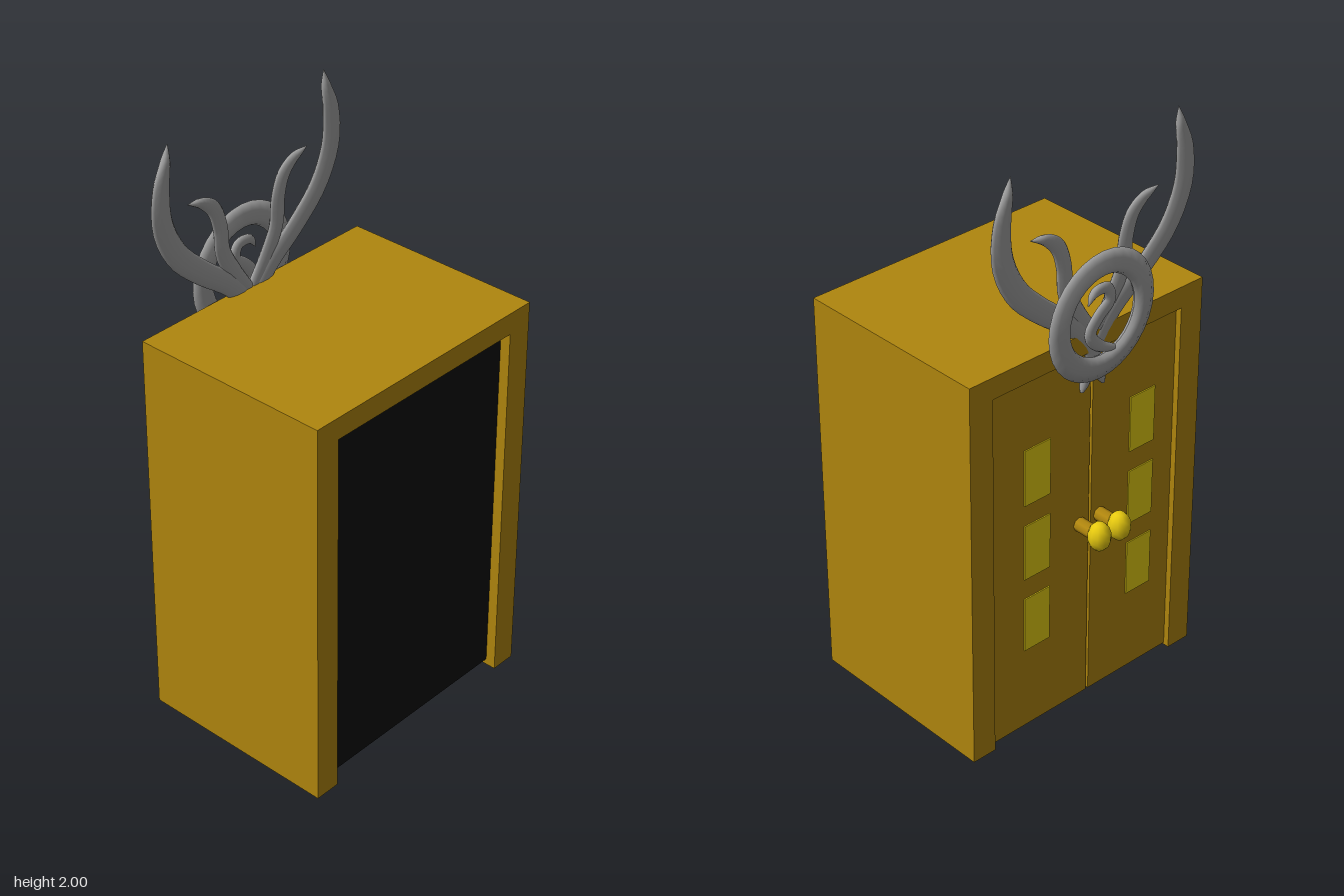
import * as THREE from 'three';

const mat = (name, color, extra = {}) => {
  const m = new THREE.MeshStandardMaterial({ color, ...extra });
  m.name = name;
  return m;
};

// Tapered sweep in the XY plane; rows are [x, y, halfWidth], with an elliptical section
function taperedSweep(rows, depth, steps = 28, sides = 10) {
  const path = new THREE.CatmullRomCurve3(rows.map(([x, y]) => new THREE.Vector3(x, y, 0)));
  const widths = new THREE.CatmullRomCurve3(rows.map(([, , w], i) => new THREE.Vector3(i, w, 0)));
  const pos = [], idx = [];
  for (let i = 0; i <= steps; i++) {
    const t = i / steps;
    const p = path.getPoint(t), d = path.getTangent(t);
    const w = Math.max(widths.getPoint(t).y, 0.0005);
    const h = Math.min(depth, w);
    for (let j = 0; j < sides; j++) {
      const a = (j / sides) * Math.PI * 2;
      const c = Math.cos(a) * w;
      pos.push(p.x - d.y * c, p.y + d.x * c, Math.sin(a) * h);
      if (i < steps) {
        const k = (j + 1) % sides, r = i * sides, n = r + sides;
        idx.push(r + j, r + k, n + j, r + k, n + k, n + j);
      }
    }
  }
  const g = new THREE.BufferGeometry();
  g.setAttribute('position', new THREE.Float32BufferAttribute(pos, 3));
  g.setIndex(idx);
  g.computeVertexNormals();
  return g;
}

export function createModel() {
  const model = new THREE.Group();
  model.name = 'cabinet';
  const wood = mat('golden brown wood', 0xb0860e);
  const black = mat('black interior', 0x0e0e0e);
  const yellow = mat('yellow panes', 0xecd412);
  const knobYellow = mat('yellow knobs', 0xecce10);
  const metal = mat('grey metal', 0xa0a0a0, { side: THREE.DoubleSide });

  const add = (name, geo, material, x = 0, y = 0, z = 0, parent = model) => {
    const m = new THREE.Mesh(geo, material);
    m.name = name;
    m.position.set(x, y, z);
    parent.add(m);
    return m;
  };
  const box = (name, material, x0, x1, y0, y1, z0, z1, parent) =>
    add(name, new THREE.BoxGeometry(x1 - x0, y1 - y0, z1 - z0), material,
      (x0 + x1) / 2, (y0 + y1) / 2, (z0 + z1) / 2, parent);

  // Outer shell: an inverted U running front to back
  const u = new THREE.Shape([
    [-0.48, 0], [-0.39, 0], [-0.39, 1.31], [0.39, 1.31],
    [0.39, 0], [0.48, 0], [0.48, 1.385], [-0.48, 1.385],
  ].map(([x, y]) => new THREE.Vector2(x, y)));
  add('frame', new THREE.ExtrudeGeometry(u, { depth: 0.71, bevelEnabled: false }), wood, 0, 0, -0.3);

  // Dark block filling the opening
  box('interior', black, -0.389, 0.389, 0.022, 1.309, -0.06, 0.375);

  // Doors with three panes and a knob each
  const split = -0.03;
  const doors = [
    { name: 'leftDoor', x0: split + 0.005, x1: 0.389, pane: 0.195, knob: 0.015 },
    { name: 'rightDoor', x0: -0.389, x1: split - 0.005, pane: -0.25, knob: -0.071 },
  ];
  for (const d of doors) {
    const door = new THREE.Group();
    door.name = d.name;
    model.add(door);
    box('doorPanel', wood, d.x0, d.x1, 0.008, 1.307, -0.28, -0.25, door);
    for (const y of [0.96, 0.685, 0.41])
      box('pane', yellow, d.pane - 0.053, d.pane + 0.053, y - 0.1, y + 0.1, -0.284, -0.278, door);
    const stem = add('knobStem', new THREE.CylinderGeometry(0.024, 0.024, 0.08, 8), wood, d.knob, 0.685, -0.305, door);
    stem.rotation.x = Math.PI / 2;
    const knob = add('knob', new THREE.SphereGeometry(1, 10, 7), knobYellow, d.knob, 0.685, -0.371, door);
    knob.scale.set(0.038, 0.051, 0.039);
  }

  // Horned ornament above the doors
  const crest = new THREE.Group();
  crest.name = 'crest';
  crest.position.x = -0.023;
  model.add(crest);

  const horn = taperedSweep([
    [-0.045, 1.175, 0.006], [-0.03, 1.21, 0.018], [0.0, 1.27, 0.022], [0.02, 1.34, 0.03],
    [0.09, 1.425, 0.036], [0.21, 1.52, 0.039], [0.31, 1.62, 0.041], [0.364, 1.74, 0.041],
    [0.365, 1.86, 0.034], [0.345, 1.94, 0.018], [0.333, 2.0, 0.001],
  ], 0.014, 36);
  const innerHorn = taperedSweep([
    [0.01, 1.38, 0.022], [0.07, 1.46, 0.03], [0.117, 1.55, 0.031], [0.126, 1.64, 0.03],
    [0.15, 1.71, 0.027], [0.195, 1.75, 0.019], [0.258, 1.77, 0.001],
  ], 0.012);
  for (const s of [1, -1]) {
    add('horn', horn, metal, 0, 0, -0.29, crest).scale.x = s;
    add('innerHorn', innerHorn, metal, 0, 0, -0.291, crest).scale.x = s;
  }

  // Flattened ring, thin at the outer rim
  const profile = [
    [0.135, 0], [0.142, -0.013], [0.158, -0.019], [0.188, -0.011], [0.217, 0],
    [0.188, 0.011], [0.158, 0.019], [0.142, 0.013], [0.135, 0],
  ].map(([r, y]) => new THREE.Vector2(r, y));
  const ring = add('ring', new THREE.LatheGeometry(profile, 32), metal, 0, 1.44, -0.325, crest);
  ring.rotation.x = Math.PI / 2;

  // Curl inside the ring
  add('curl', taperedSweep([
    [-0.05, -0.13, 0.012], [0.01, -0.1, 0.02], [0.045, -0.05, 0.023], [0.01, 0.0, 0.023],
    [-0.035, 0.04, 0.022], [-0.02, 0.085, 0.02], [0.03, 0.085, 0.016], [0.055, 0.05, 0.002],
  ], 0.012), metal, 0, 1.44, -0.322, crest);

  return model;
}
